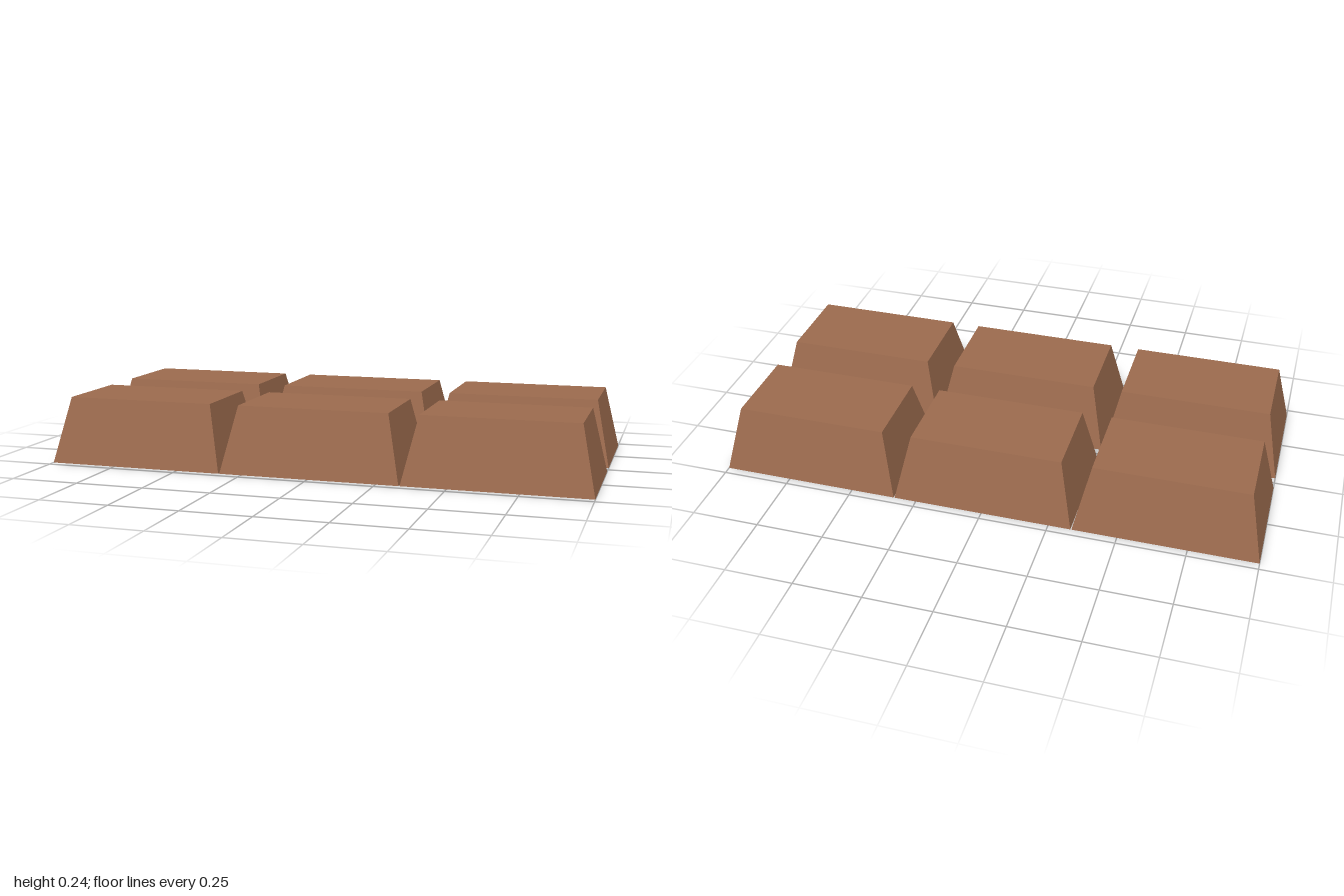
import * as THREE from 'three';

const HEIGHT = 0.242;
const BOTTOM_FACE = 18; // first index of a box's underside

// Hollow tapered block, open underneath
function blockGeometry(width, depth, taperX, taperZ) {
  const geo = new THREE.BoxGeometry(width, HEIGHT, depth);
  geo.translate(0, HEIGHT / 2, 0);
  const pos = geo.attributes.position;
  for (let i = 0; i < pos.count; i++) {
    if (pos.getY(i) < HEIGHT / 2) continue;
    pos.setX(i, pos.getX(i) - Math.sign(pos.getX(i)) * taperX);
    pos.setZ(i, pos.getZ(i) - Math.sign(pos.getZ(i)) * taperZ);
  }
  const index = Array.from(geo.index.array);
  index.splice(BOTTOM_FACE, 6);
  geo.setIndex(index);
  geo.clearGroups();
  geo.computeVertexNormals();
  return geo;
}

export function createModel() {
  const group = new THREE.Group();
  group.name = 'chocolateBar';
  const chocolate = new THREE.MeshStandardMaterial({ color: 0x9c6b4e, side: THREE.DoubleSide });
  chocolate.name = 'milk chocolate';

  // Two rows of three blocks
  const geo = blockGeometry(0.664, 0.44, 0.053, 0.06);
  const columns = { Right: -0.668, Middle: 0, Left: 0.668 };
  const rows = { front: 0.25, back: -0.25 };
  for (const [row, z] of Object.entries(rows)) {
    for (const [column, x] of Object.entries(columns)) {
      const block = new THREE.Mesh(geo, chocolate);
      block.name = `${row}${column}Block`;
      block.position.set(x, 0, z);
      group.add(block);
    }
  }
  return group;
}
